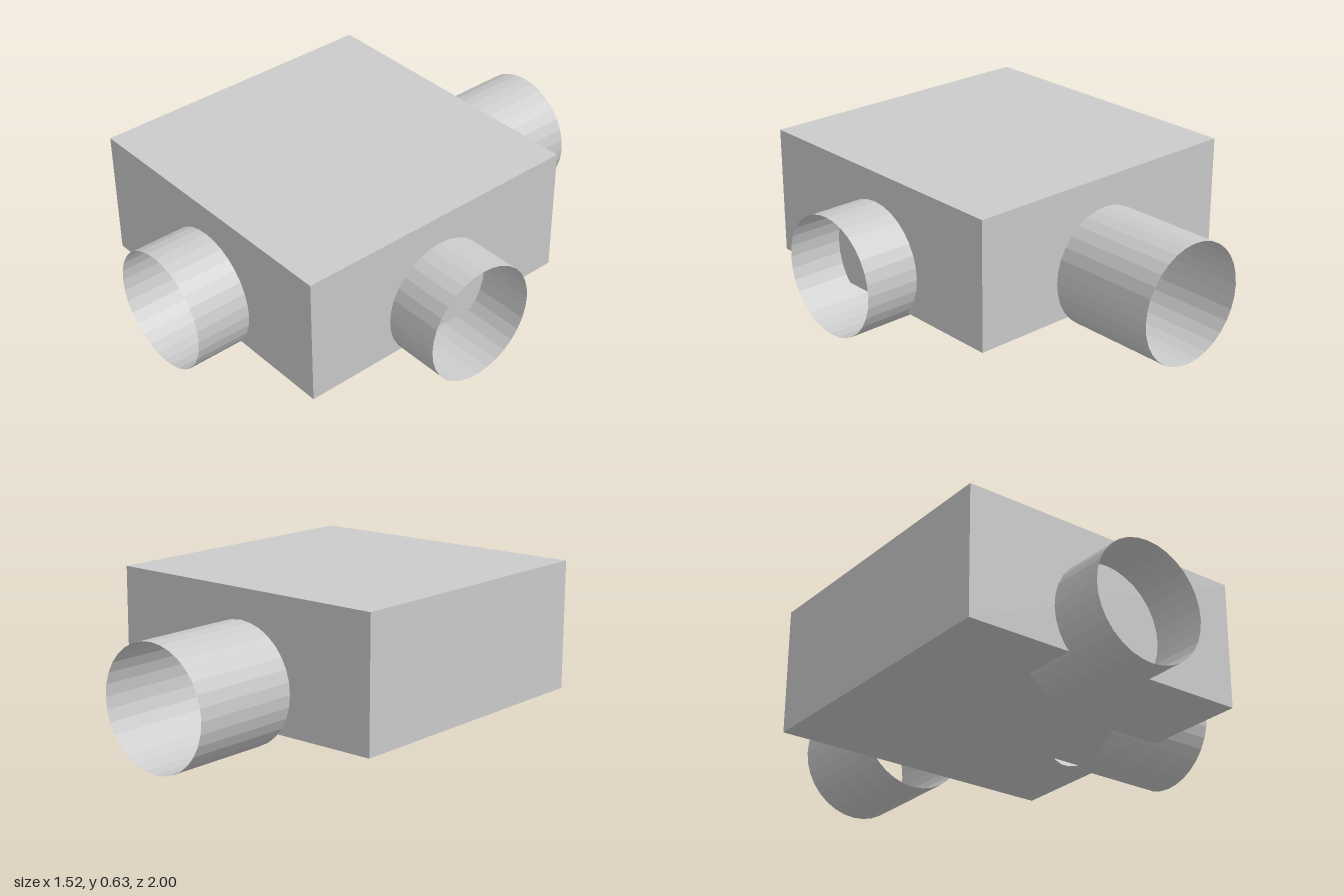
import * as THREE from 'three';

export function createModel() {
  const group = new THREE.Group();
  group.name = 'junctionBox';
  const solid = new THREE.MeshStandardMaterial({ color: 0xcccccc, flatShading: true });
  const thin = new THREE.MeshStandardMaterial({ color: 0xcccccc, flatShading: true, side: THREE.DoubleSide });

  // Main box
  const box = new THREE.Mesh(new THREE.BoxGeometry(1.284, 0.549, 1.284), solid);
  box.name = 'box';
  box.position.set(-0.12, 0.36, 0.117);
  group.add(box);

  // Open thin-walled pipes, all of one size, lying along z or x
  const radius = 0.254, length = 0.474;
  const pipeGeometry = new THREE.CylinderGeometry(radius, radius, length, 32, 1, true).rotateX(Math.PI / 2);
  const addPipe = (name, x, z, turn) => {
    const pipe = new THREE.Mesh(pipeGeometry, thin);
    pipe.name = name;
    pipe.position.set(x, radius, z);
    pipe.rotation.y = turn;
    group.add(pipe);
  };
  addPipe('frontPipe', -0.12, 1 - length / 2, 0);
  addPipe('backPipe', -0.12, -1 + length / 2, 0);
  addPipe('leftPipe', 0.762 - length / 2, 0.117, Math.PI / 2);

  return group;
}
